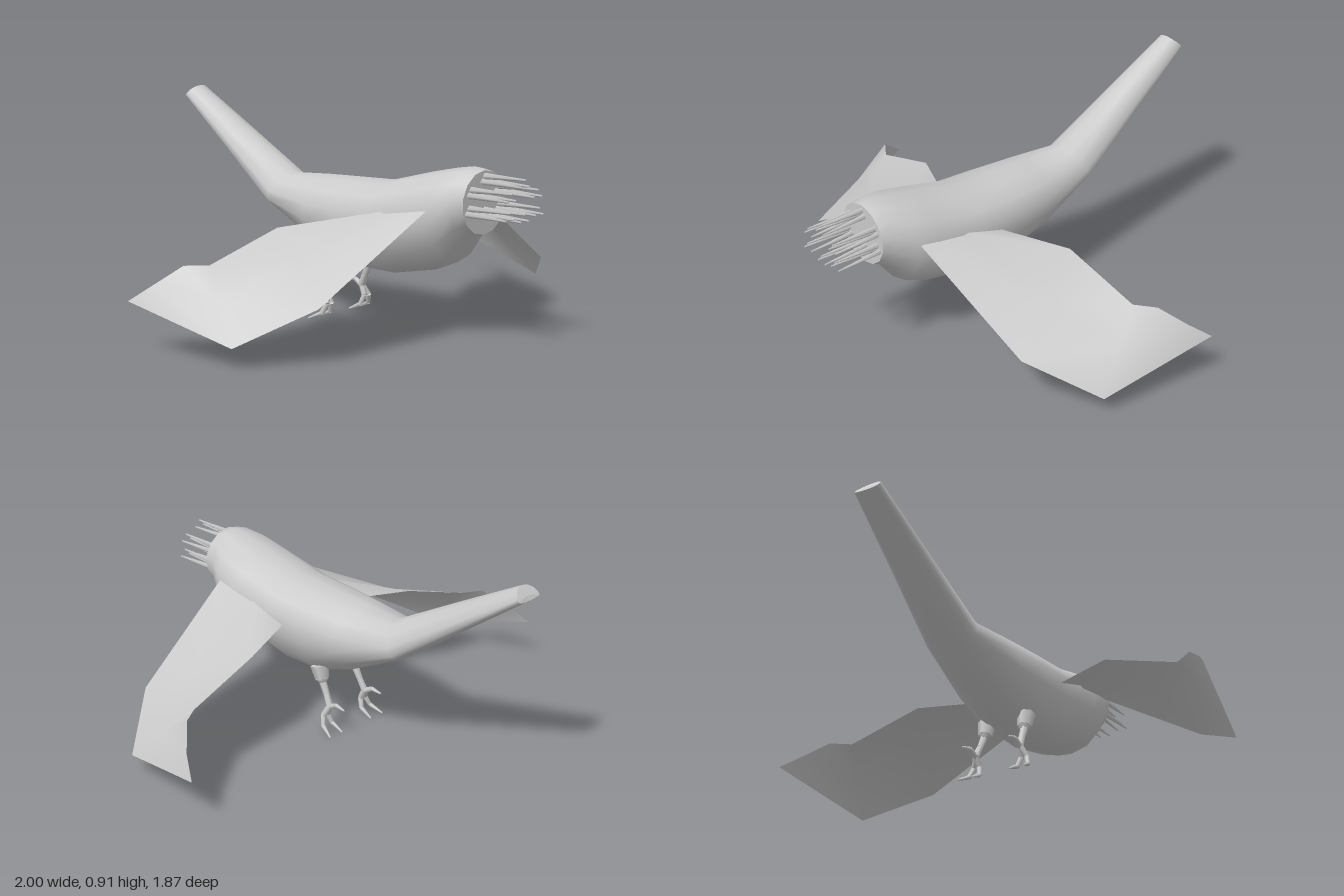
import * as THREE from 'three';
import { mergeGeometries } from 'three/addons/utils/BufferGeometryUtils.js';

const material = new THREE.MeshStandardMaterial({ color: 0xcccccc });
const sheetMaterial = new THREE.MeshStandardMaterial({ color: 0xcccccc, side: THREE.DoubleSide });
const SIDES = 14;

// Skin a surface over rows of points; closed rows wrap around.
function loft(rows, closed) {
  const n = rows[0].length, index = [];
  for (let i = 0; i < rows.length - 1; i++) {
    for (let j = 0; j < (closed ? n : n - 1); j++) {
      const k = (j + 1) % n;
      const a = i * n + j, b = a + n, c = (i + 1) * n + k, d = i * n + k;
      index.push(a, b, c, a, c, d);
    }
  }
  const geometry = new THREE.BufferGeometry();
  geometry.setAttribute('position', new THREE.Float32BufferAttribute(rows.flat(2), 3));
  geometry.setIndex(index);
  geometry.computeVertexNormals();
  return geometry;
}

function addMesh(parent, name, geometry, mat = material) {
  const mesh = new THREE.Mesh(geometry, mat);
  mesh.name = name;
  parent.add(mesh);
  return mesh;
}

// Tapered rod between two points.
function rod(a, b, ra, rb, sides = 6) {
  const from = new THREE.Vector3(...a), to = new THREE.Vector3(...b);
  const dir = to.clone().sub(from);
  const geometry = new THREE.CylinderGeometry(rb, ra, dir.length(), sides);
  geometry.applyQuaternion(new THREE.Quaternion().setFromUnitVectors(
    new THREE.Vector3(0, 1, 0), dir.clone().normalize()));
  const mid = from.add(to).multiplyScalar(0.5);
  return geometry.translate(mid.x, mid.y, mid.z);
}

// Jointed limb: points are [x, y, z, radius].
function limb(points) {
  const parts = [];
  for (let i = 0; i < points.length - 1; i++) {
    const a = points[i], b = points[i + 1];
    parts.push(rod(a.slice(0, 3), b.slice(0, 3), a[3], b[3]));
  }
  return mergeGeometries(parts);
}

// Body section: arched top leaning from zMid to zTop, separate lower half.
function section([zTop, zMid, w, top, mid, bottom]) {
  return Array.from({ length: SIDES }, (_, j) => {
    const t = j / SIDES * Math.PI * 2 + Math.PI / 2, s = Math.sin(t);
    return [w * Math.cos(t), mid + s * (s > 0 ? top - mid : mid - bottom),
      s > 0 ? zMid + (zTop - zMid) * s : zMid];
  });
}

export function createModel() {
  const model = new THREE.Group();
  model.name = 'bird';

  // Body running back into the raised tail
  const rings = [
    [0.74, 0.74, 0.13, 0.695, 0.57, 0.445],
    [0.69, 0.69, 0.142, 0.705, 0.56, 0.425],
    [0.61, 0.61, 0.183, 0.692, 0.53, 0.32],
    [0.5, 0.5, 0.19, 0.668, 0.5, 0.275],
    [0.28, 0.28, 0.195, 0.612, 0.47, 0.23],
    [0.1, 0.1, 0.188, 0.605, 0.46, 0.235],
    [-0.08, -0.08, 0.168, 0.598, 0.46, 0.295],
    [-0.285, -0.35, 0.118, 0.585, 0.49, 0.438],
    [-0.6, -0.65, 0.087, 0.76, 0.69, 0.66],
    [-0.895, -0.935, 0.06, 0.92, 0.878, 0.87],
  ].map(section);
  addMesh(model, 'body', loft(rings, true));
  const collapse = (x, y, z) => Array.from({ length: SIDES }, () => [x, y, z]);
  addMesh(model, 'neckCap', loft([collapse(0, 0.57, 0.74), rings[0]], true));
  addMesh(model, 'tailEnd', loft([rings.at(-1), collapse(0, 0.888, -0.925)], true));

  // Clumps of spikes on the neck
  const spikes = [];
  const clumps = [[0, 0.66], [-0.08, 0.615], [0.08, 0.615], [0, 0.53], [-0.09, 0.545], [0.09, 0.545]];
  for (const [x, y] of clumps) {
    for (const [dx, dy] of [[-0.02, -0.008], [0.02, -0.008], [0, 0.012]]) {
      spikes.push(rod([x + dx * 0.7, y + dy, 0.73], [x + dx * 1.15, y + dy * 1.3, 0.935], 0.013, 0.004, 4));
    }
  }
  addMesh(model, 'neckSpikes', mergeGeometries(spikes));

  // Wing: rows from root to tip, each from leading to trailing edge
  const wing = loft([
    [[0.16, 0.55, 0.6], [0.16, 0.52, 0.4], [0.16, 0.46, 0.21]],
    [[0.67, 0.23, 0.515], [0.57, 0.36, 0.3], [0.46, 0.45, 0.08]],
    [[0.91, 0.09, 0.31], [0.85, 0.235, 0.17], [0.79, 0.345, 0.055]],
    [[1, 0.205, -0.175], [0.95, 0.27, -0.09], [0.87, 0.348, 0]],
  ], false);

  // Leg with a thigh, shin and curled toes
  const leg = mergeGeometries([
    limb([[0.095, 0.29, 0.07, 0.04], [0.095, 0.23, 0.055, 0.03], [0.097, 0.215, 0.05, 0.018]]),
    limb([[0.097, 0.23, 0.055, 0.017], [0.1, 0.17, 0.025, 0.014], [0.105, 0.12, 0, 0.016]]),
    limb([[0.105, 0.125, 0, 0.014], [0.125, 0.08, 0.02, 0.012], [0.14, 0.04, 0.005, 0.01], [0.157, 0.012, -0.055, 0.004]]),
    limb([[0.105, 0.125, 0, 0.014], [0.1, 0.08, 0.02, 0.012], [0.09, 0.04, 0.005, 0.01], [0.087, 0.012, -0.055, 0.004]]),
    limb([[0.105, 0.12, 0, 0.013], [0.108, 0.142, -0.04, 0.01], [0.11, 0.135, -0.09, 0.004]]),
  ]);

  for (const [side, sign] of [['left', 1], ['right', -1]]) {
    addMesh(model, side + 'Wing', wing, sheetMaterial).scale.x = sign;
    addMesh(model, side + 'Leg', leg).scale.x = sign;
  }
  return model;
}
